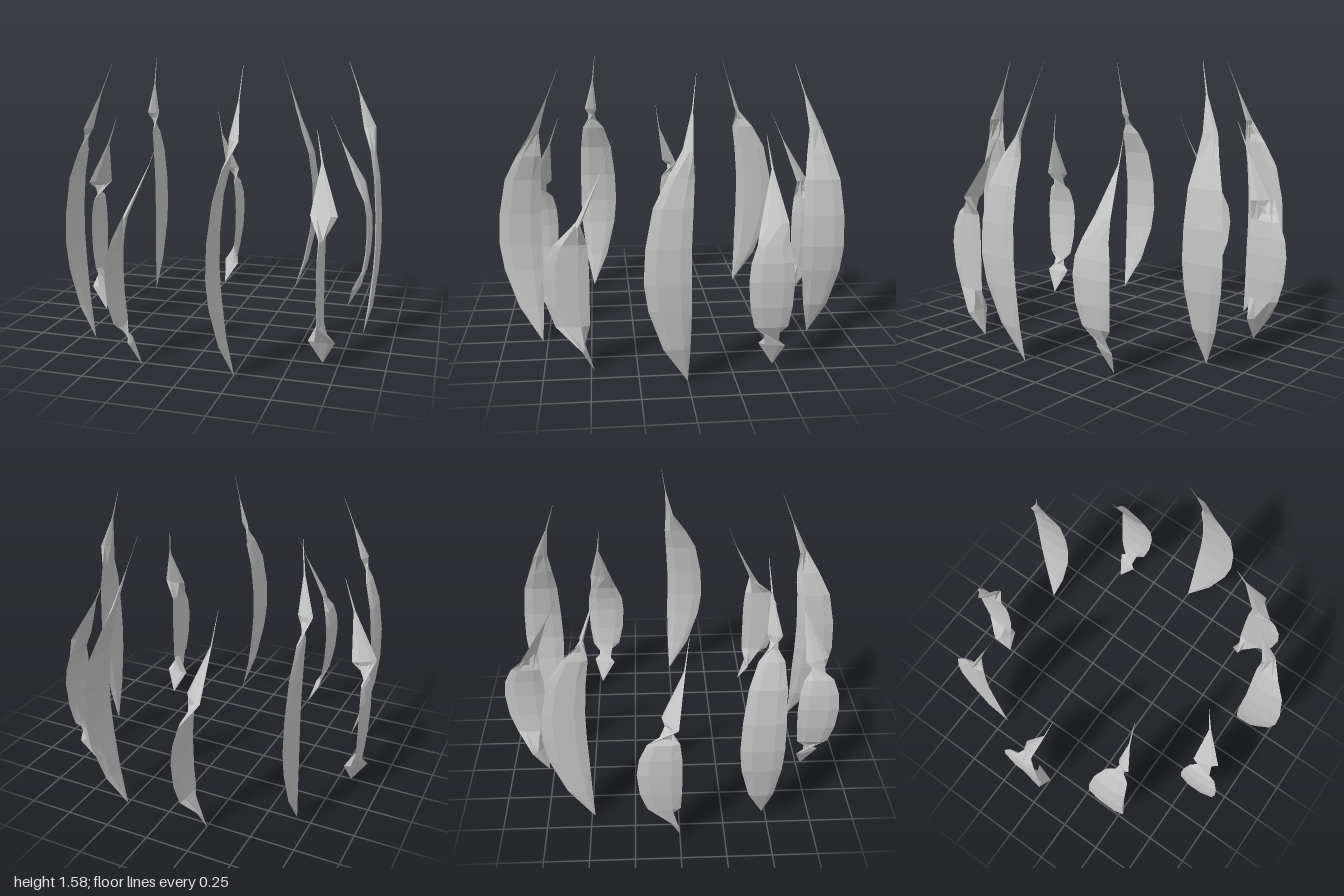
import * as THREE from 'three';

const RAD = Math.PI / 180;
const SIDES = 6;

// Stations: [height, bow of the spine, lean toward the tip, half width, part]
// part: -1 twisted foot, 0 broad blade, 1 twisted neck and spike
const TALL = [
  [0, 0, 0, 0.001, 0], [0.2, 0.075, 0, 0.07, 0], [0.42, 0.12, 0, 0.11, 0],
  [0.57, 0.135, 0, 0.12, 0], [0.75, 0.13, 0, 0.115, 0], [0.95, 0.1, 0, 0.1, 0],
  [1.09, 0.05, 0, 0.068, 0], [1.22, 0.005, 0, 0.04, 1],
  [1.41, 0, 0.5, 0.005, 1], [1.58, 0, 1, 0.001, 1],
];
const SHORT = [
  [0, 0, 0, 0.001, -1], [0.14, 0.06, 0, 0.072, -1], [0.26, 0.11, 0, 0.09, 0],
  [0.38, 0.13, 0, 0.112, 0], [0.52, 0.137, 0, 0.12, 0], [0.62, 0.13, 0, 0.112, 0],
  [0.71, 0.11, 0, 0.085, 0], [0.82, 0.067, 0, 0.072, 1],
  [1.07, 0, 0.45, 0.006, 1], [1.24, 0, 1, 0.001, 1],
];

// Twist of each blade's neck and foot, in degrees from the broad part
const NECK = [54, 90, -54, 162, -162, -126, -90, -54, -18, 18];
const FOOT = [0, -90, 0, 162, 0, -126, 0, -54, 0, -162];

// Flat ribbon swept up a bowed spine; its ends twist
function bladeGeometry(deg, stations, neck, foot) {
  const t = deg * RAD;
  const bow = (deg + 54) * RAD;
  const baseX = 0.82 * Math.cos(t), baseZ = 0.82 * Math.sin(t);
  const tipX = -0.13 * Math.cos(t) + 0.05 * Math.sin(t);
  const tipZ = -0.13 * Math.sin(t) - 0.05 * Math.cos(t);

  const pos = [], index = [];
  stations.forEach(([y, b, lean, w, part]) => {
    const twist = part > 0 ? neck : part < 0 ? foot : 0;
    const a = (90 + twist) * RAD;
    const thick = 0.014 * Math.min(1, w / 0.05);
    const cx = baseX + b * Math.cos(bow) + lean * tipX;
    const cz = baseZ + b * Math.sin(bow) + lean * tipZ;
    for (let k = 0; k < SIDES; k++) {
      const p = (k / SIDES) * Math.PI * 2;
      const u = w * Math.cos(p), v = thick * Math.sin(p);
      pos.push(cx + u * Math.cos(a) - v * Math.sin(a), y, cz + u * Math.sin(a) + v * Math.cos(a));
    }
  });
  for (let j = 0; j < stations.length - 1; j++) {
    for (let k = 0; k < SIDES; k++) {
      const n = (k + 1) % SIDES;
      const a = j * SIDES + k, b = j * SIDES + n;
      const c = a + SIDES, d = b + SIDES;
      index.push(a, c, b, b, c, d);
    }
  }
  const g = new THREE.BufferGeometry();
  g.setAttribute('position', new THREE.Float32BufferAttribute(pos, 3));
  g.setIndex(index);
  g.computeVertexNormals();
  return g;
}

export function createModel() {
  const group = new THREE.Group();
  group.name = 'bladeRing';
  const grey = new THREE.MeshStandardMaterial({ color: 0xc6c6c6, flatShading: true, side: THREE.DoubleSide });
  grey.name = 'lightGrey';

  // Ten blades in a ring, tall and short in turn
  for (let i = 0; i < 10; i++) {
    const tall = i % 2 === 0;
    const geometry = bladeGeometry(i * 36, tall ? TALL : SHORT, NECK[i], FOOT[i]);
    const blade = new THREE.Mesh(geometry, grey);
    blade.name = tall ? 'tallBlade' : 'shortBlade';
    group.add(blade);
  }
  return group;
}
